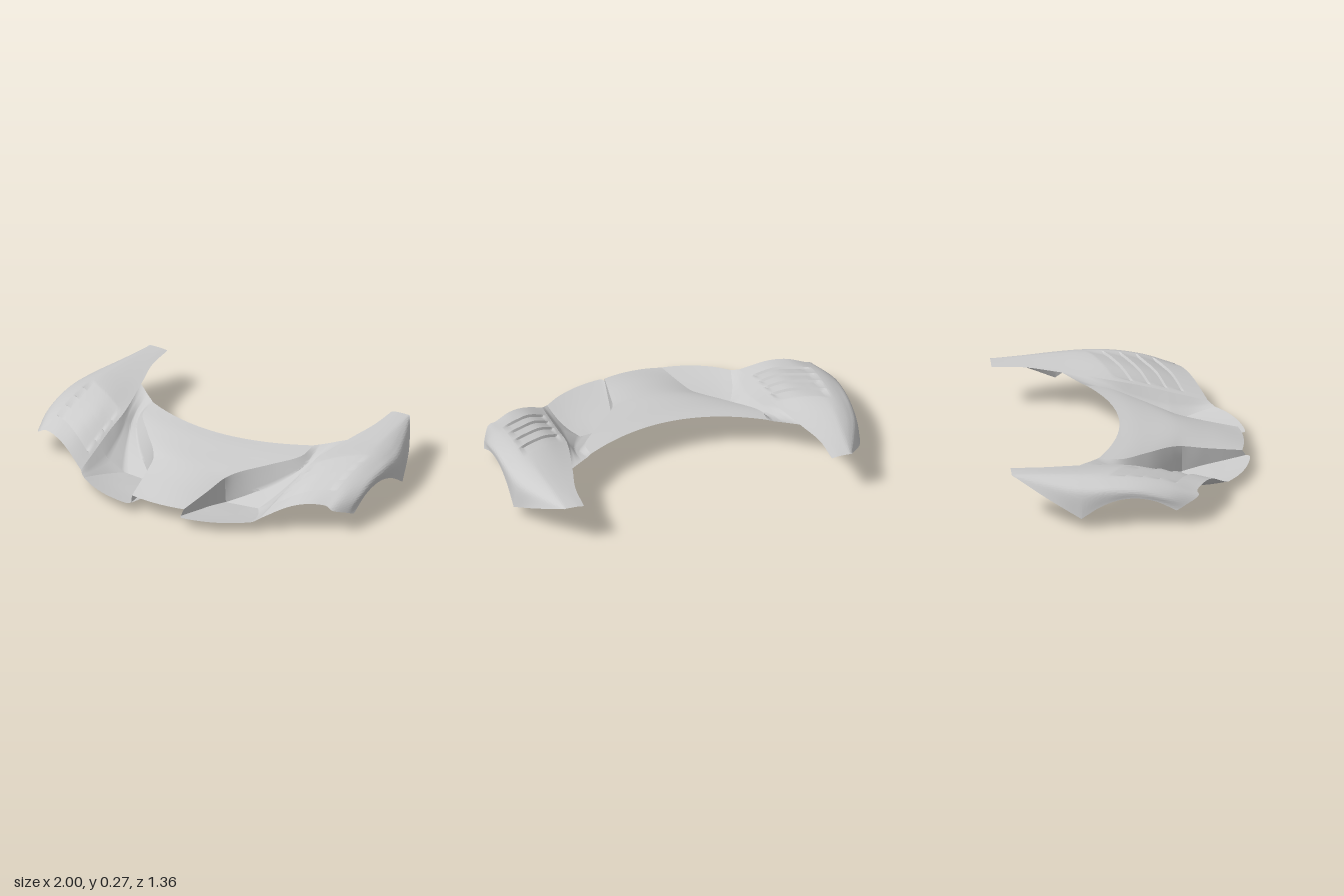
import * as THREE from 'three';
import { toCreasedNormals } from 'three/addons/utils/BufferGeometryUtils.js';

const V = (p) => new THREE.Vector3(...p);
const material = new THREE.MeshStandardMaterial({ color: 0xcccccc, side: THREE.DoubleSide });

// a rail is a function t -> point, running from the rear to the front
function rail(...points) {
  const curve = new THREE.CatmullRomCurve3(points.map(V));
  return (t) => curve.getPoint(t);
}
const part = (r, a, b) => (t) => r(a + (b - a) * t);

// sheet from a point rule f(u, v): u goes rear to front, v goes across
function sheet(name, f, nu, nv, crease = 0.7) {
  const pos = [], index = [];
  for (let i = 0; i <= nu; i++)
    for (let j = 0; j <= nv; j++) {
      const p = f(i / nu, j / nv);
      pos.push(p.x, p.y, p.z);
      if (i < nu && j < nv) {
        const a = i * (nv + 1) + j, b = a + nv + 1;
        index.push(a, b, a + 1, b, b + 1, a + 1);
      }
    }
  const geo = new THREE.BufferGeometry();
  geo.setAttribute('position', new THREE.Float32BufferAttribute(pos, 3));
  geo.setIndex(index);
  const mesh = new THREE.Mesh(toCreasedNormals(geo, crease), material);
  mesh.name = name;
  return mesh;
}

// point across a set of rails, smooth or straight between them
function across(rails, u, v, smooth = true) {
  const pts = rails.map((r) => r(u));
  if (smooth) return new THREE.CatmullRomCurve3(pts, false, 'catmullrom', 0.5).getPoint(v);
  const s = v * (pts.length - 1), i = Math.min(Math.floor(s), pts.length - 2);
  return pts[i].lerp(pts[i + 1], s - i);
}

// fender rails, from the inner edge over the crest to the wheel arch
const inner = rail([0.715, 0.255, -0.68], [0.706, 0.25, -0.5], [0.66, 0.235, -0.31], [0.597, 0.203, -0.02],
  [0.59, 0.165, 0.16], [0.58, 0.122, 0.33], [0.57, 0.08, 0.5]);
const shoulder = rail([0.75, 0.26, -0.68], [0.76, 0.258, -0.5], [0.75, 0.254, -0.315], [0.72, 0.246, -0.08],
  [0.70, 0.228, 0.1], [0.70, 0.196, 0.27], [0.70, 0.152, 0.435]);
const crest = rail([0.79, 0.261, -0.68], [0.81, 0.263, -0.5], [0.825, 0.265, -0.31], [0.82, 0.264, -0.13],
  [0.81, 0.251, 0.04], [0.80, 0.222, 0.21], [0.8, 0.178, 0.385]);
const ridge = rail([0.815, 0.261, -0.68], [0.845, 0.262, -0.5], [0.875, 0.264, -0.31], [0.89, 0.264, -0.17],
  [0.89, 0.256, 0], [0.89, 0.226, 0.17], [0.89, 0.17, 0.337]);
const brow = rail([0.82, 0.261, -0.68], [0.88, 0.247, -0.5], [0.937, 0.24, -0.31], [0.953, 0.243, -0.15],
  [0.953, 0.235, 0.02], [0.95, 0.203, 0.18], [0.935, 0.15, 0.338]);
const flank = rail([0.825, 0.26, -0.68], [0.907, 0.222, -0.5], [0.98, 0.195, -0.31], [0.995, 0.213, -0.14],
  [0.996, 0.205, 0.03], [0.995, 0.167, 0.16], [0.98, 0.118, 0.265]);
const archRear = rail([0.83, 0.26, -0.68], [0.935, 0.158, -0.49], [1, 0.06, -0.31]);
const archFront = rail([1, 0.06, -0.31], [1, 0.13, -0.2], [1, 0.166, -0.1], [1, 0.172, 0],
  [1, 0.152, 0.1], [1, 0.095, 0.215]);
const arch = (t) => (t < 1 / 3 ? archRear(t * 3) : archFront((t - 1 / 3) * 1.5));
const fenderRails = [inner, shoulder, crest, ridge, brow, flank, arch];

// four stepped louvres pressed into the top of the fender
function fender(u, v) {
  const p = across(fenderRails, u, v);
  const s = (u * 6 - 3.1) / 0.55;
  if (s > 0 && s < 4 && v > 0.03 && v < 0.5) {
    const fade = Math.min(1, (v - 0.03) / 0.025, (0.5 - v) / 0.08);
    p.y -= 0.015 * fade * (s % 1);
  }
  return p;
}

// intake rails: bonnet edge, foot of the wall, valley, foot of the outer slope
const BREAK = 4 / 7;
const bonnetEdge = rail([0.51, 0.215, -0.175], [0.505, 0.2, -0.06], [0.39, 0.183, 0.09], [0.27, 0.165, 0.23],
  [0.228, 0.15, 0.3], [0.203, 0.125, 0.42], [0.185, 0.108, 0.52], [0.165, 0.09, 0.635]);
const footRear = rail([0.535, 0.216, -0.198], [0.535, 0.155, -0.05], [0.44, 0.086, 0.1], [0.31, 0.03, 0.23],
  [0.235, 0.004, 0.3]);
const footFront = rail([0.235, 0.004, 0.3], [0.2, 0.022, 0.42], [0.18, 0.038, 0.53], [0.158, 0.057, 0.655]);
const valleyRear = rail([0.58, 0.222, -0.233], [0.56, 0.16, -0.05], [0.51, 0.09, 0.1], [0.455, 0.03, 0.22],
  [0.425, 0.004, 0.275]);
const valleyFront = rail([0.425, 0.004, 0.275], [0.465, 0.015, 0.335], [0.502, 0.033, 0.42], [0.53, 0.06, 0.535]);
const slopeRear = rail([0.615, 0.228, -0.263], [0.58, 0.18, -0.04], [0.555, 0.125, 0.1], [0.538, 0.086, 0.225],
  [0.53, 0.071, 0.285]);
const slopeFront = rail([0.53, 0.071, 0.285], [0.535, 0.065, 0.35], [0.542, 0.062, 0.43], [0.55, 0.067, 0.52]);
const edgeRear = part(bonnetEdge, 0, BREAK), edgeFront = part(bonnetEdge, BREAK, 1);
const seamRear = part(inner, 2.05 / 6, 4.7 / 6), seamFront = part(inner, 4.7 / 6, 1);
const channelRails = [edgeRear, footRear, valleyRear, slopeRear, seamRear];
const outerRails = [valleyFront, slopeFront, seamFront];

// splitter floor, tucked a little under the bonnet
const floorRails = [
  rail([0.15, 0.012, 0.31], [0.145, 0.024, 0.42], [0.145, 0.038, 0.53], [0.155, 0.057, 0.655]),
  rail([0.25, 0.003, 0.292], [0.23, 0.022, 0.42], [0.21, 0.038, 0.55], [0.185, 0.058, 0.677]),
  rail([0.35, 0, 0.278], [0.345, 0.02, 0.41], [0.335, 0.038, 0.53], [0.32, 0.059, 0.65]),
  rail([0.395, 0.002, 0.274], [0.42, 0.018, 0.38], [0.435, 0.036, 0.48], [0.44, 0.06, 0.598]),
  valleyFront,
];

// bonnet: a crowned sheet between the two bonnet edges
const spine = rail([0, 0.222, -0.03], [0, 0.217, 0.05], [0, 0.205, 0.15], [0, 0.19, 0.26],
  [0, 0.178, 0.32], [0, 0.148, 0.44], [0, 0.123, 0.54], [0, 0.092, 0.655]);
function bonnet(u, v) {
  const s = v * 2 - 1, e = bonnetEdge(u);
  const p = spine(u).lerp(e, s * s);
  p.x = e.x * s;
  return p;
}

function createSide(name) {
  const side = new THREE.Group();
  side.name = name;
  side.add(
    sheet('fender', fender, 132, 84, 0.5),
    sheet('intakeChannel', (u, v) => across(channelRails, u, v, false), 32, 24, 1),
    sheet('intakeInnerWall', (u, v) => across([edgeFront, footFront], u, v, false), 20, 4),
    sheet('intakeOuterWall', (u, v) => across(outerRails, u, v, false), 20, 8, 1),
    sheet('splitterFloor', (u, v) => across(floorRails, u, v), 20, 24),
  );
  return side;
}

export function createModel() {
  const model = new THREE.Group();
  model.name = 'frontBodywork';
  const left = createSide('leftSide'), right = createSide('rightSide');
  right.scale.x = -1;
  model.add(left, right, sheet('bonnet', bonnet, 56, 32));
  return model;
}
